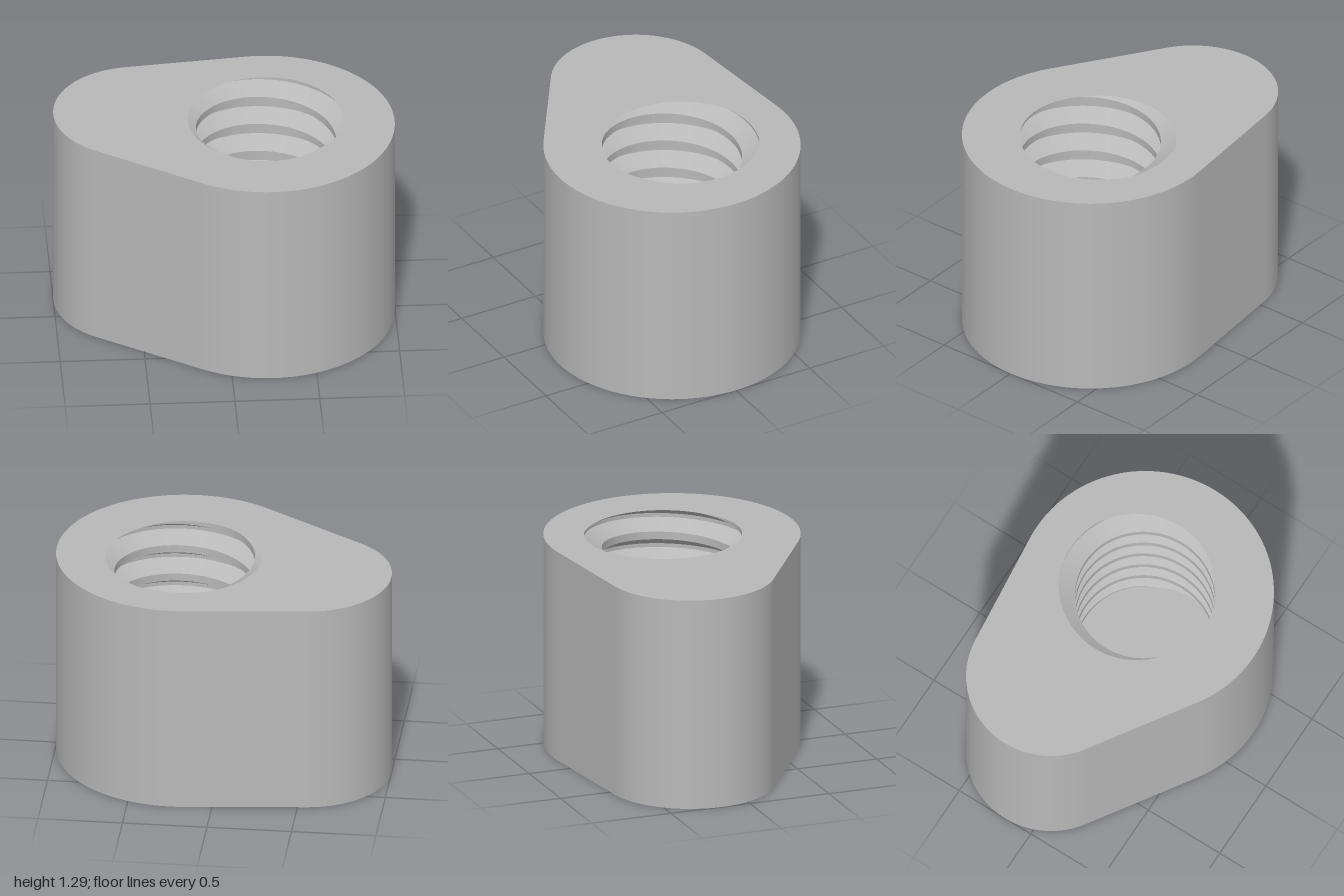
import * as THREE from 'three';

const HEIGHT = 1.29, FLOOR = 0.25;
const BIG = { x: 0.243, v: 0, r: 0.757 };      // v is -z
const SMALL = { x: -0.5, v: 0.18, r: 0.5 };
const PITCH = 0.187, MINOR = 0.413, MAJOR = 0.517, SEGMENTS = 144;
const TAU = Math.PI * 2;

// Outline of two circles joined by tangent lines, with outward directions
function outline() {
  const dx = SMALL.x - BIG.x, dv = SMALL.v - BIG.v;
  const axis = Math.atan2(dv, dx);
  const half = Math.acos((BIG.r - SMALL.r) / Math.hypot(dx, dv));
  const points = [];
  const arc = (c, from, to, n) => {
    for (let i = 0; i <= n; i++) {
      const a = from + (to - from) * i / n;
      points.push({ x: c.x + c.r * Math.cos(a), v: c.v + c.r * Math.sin(a), nx: Math.cos(a), nv: Math.sin(a) });
    }
  };
  arc(SMALL, axis - half, axis + half, 48);
  arc(BIG, axis + half, axis - half + TAU, 80);
  return points;
}

// Helical thread: groove centre height at an angle, and radius at any height
const grooveY = (a) => HEIGHT + PITCH * (a / TAU - 0.25);
function boreRadius(a, y) {
  const u = (y - grooveY(a)) / PITCH;
  const d = Math.abs(u - Math.round(u));
  return THREE.MathUtils.lerp(MAJOR, MINOR, THREE.MathUtils.clamp((d - 0.0625) / 0.3125, 0, 1));
}

function boreOutline(y) {
  return Array.from({ length: SEGMENTS }, (_, i) => {
    const a = TAU * i / SEGMENTS, r = boreRadius(a, y);
    return new THREE.Vector2(BIG.x + r * Math.cos(a), BIG.v + r * Math.sin(a));
  });
}

// Smooth vertical wall around the outline
function wallGeometry(points) {
  const pos = [], nor = [], index = [], n = points.length;
  for (let i = 0; i <= n; i++) {
    const p = points[i % n];
    pos.push(p.x, 0, -p.v, p.x, HEIGHT, -p.v);
    nor.push(p.nx, 0, -p.nv, p.nx, 0, -p.nv);
    if (i < n) {
      const k = i * 2;
      index.push(k + 2, k, k + 3, k, k + 1, k + 3);
    }
  }
  // the outline runs counter-clockwise from above, so flip to face outward
  for (let i = 0; i < index.length; i += 3) [index[i], index[i + 1]] = [index[i + 1], index[i]];
  const g = new THREE.BufferGeometry();
  g.setAttribute('position', new THREE.Float32BufferAttribute(pos, 3));
  g.setAttribute('normal', new THREE.Float32BufferAttribute(nor, 3));
  g.setIndex(index);
  return g;
}

// Threaded bore: root, flanks and crest each form their own helical strip
function threadGeometry() {
  const pos = [], index = [];
  const offsets = [-0.375, -0.0625, 0.0625, 0.375, 0.625];
  const clampY = (y) => THREE.MathUtils.clamp(y, FLOOR, HEIGHT);
  const turns = Math.ceil((HEIGHT - FLOOR) / PITCH) + 2;
  for (let t = -turns; t <= 2; t++) {
    for (let s = 0; s < 4; s++) {
      const start = pos.length / 3;
      for (let i = 0; i <= SEGMENTS; i++) {
        const a = TAU * i / SEGMENTS;
        for (const o of [offsets[s], offsets[s + 1]]) {
          const y = clampY(grooveY(a) + (t + o) * PITCH), r = boreRadius(a, y);
          pos.push(BIG.x + r * Math.cos(a), y, -BIG.v - r * Math.sin(a));
        }
      }
      for (let i = 0; i < SEGMENTS; i++) {
        const k = start + i * 2;
        const y = (j) => pos[(k + j) * 3 + 1];
        if (y(1) - y(0) > 1e-6) index.push(k, k + 1, k + 3);
        if (y(3) - y(2) > 1e-6) index.push(k, k + 3, k + 2);
      }
    }
  }
  const g = new THREE.BufferGeometry();
  g.setAttribute('position', new THREE.Float32BufferAttribute(pos, 3));
  g.setIndex(index);
  g.computeVertexNormals();
  return g;
}

export function createModel() {
  const group = new THREE.Group();
  group.name = 'threadedBlock';
  const grey = new THREE.MeshStandardMaterial({ color: 0xb8b8b8 });
  grey.name = 'grey';
  const add = (name, geometry) => {
    const mesh = new THREE.Mesh(geometry, grey);
    mesh.name = name;
    group.add(mesh);
  };
  const points = outline();

  // Outer body
  add('outerWall', wallGeometry(points));
  const top = new THREE.Shape(points.map((p) => new THREE.Vector2(p.x, p.v)));
  top.holes.push(new THREE.Path(boreOutline(HEIGHT)));
  add('topFace', new THREE.ShapeGeometry(top).rotateX(-Math.PI / 2).translate(0, HEIGHT, 0));
  const bottom = new THREE.Shape(points.map((p) => new THREE.Vector2(p.x, -p.v)));
  add('bottomFace', new THREE.ShapeGeometry(bottom).rotateX(Math.PI / 2));

  // Blind threaded hole
  add('threadedBore', threadGeometry());
  const floor = new THREE.Shape(boreOutline(FLOOR));
  add('boreFloor', new THREE.ShapeGeometry(floor).rotateX(-Math.PI / 2).translate(0, FLOOR, 0));
  return group;
}
